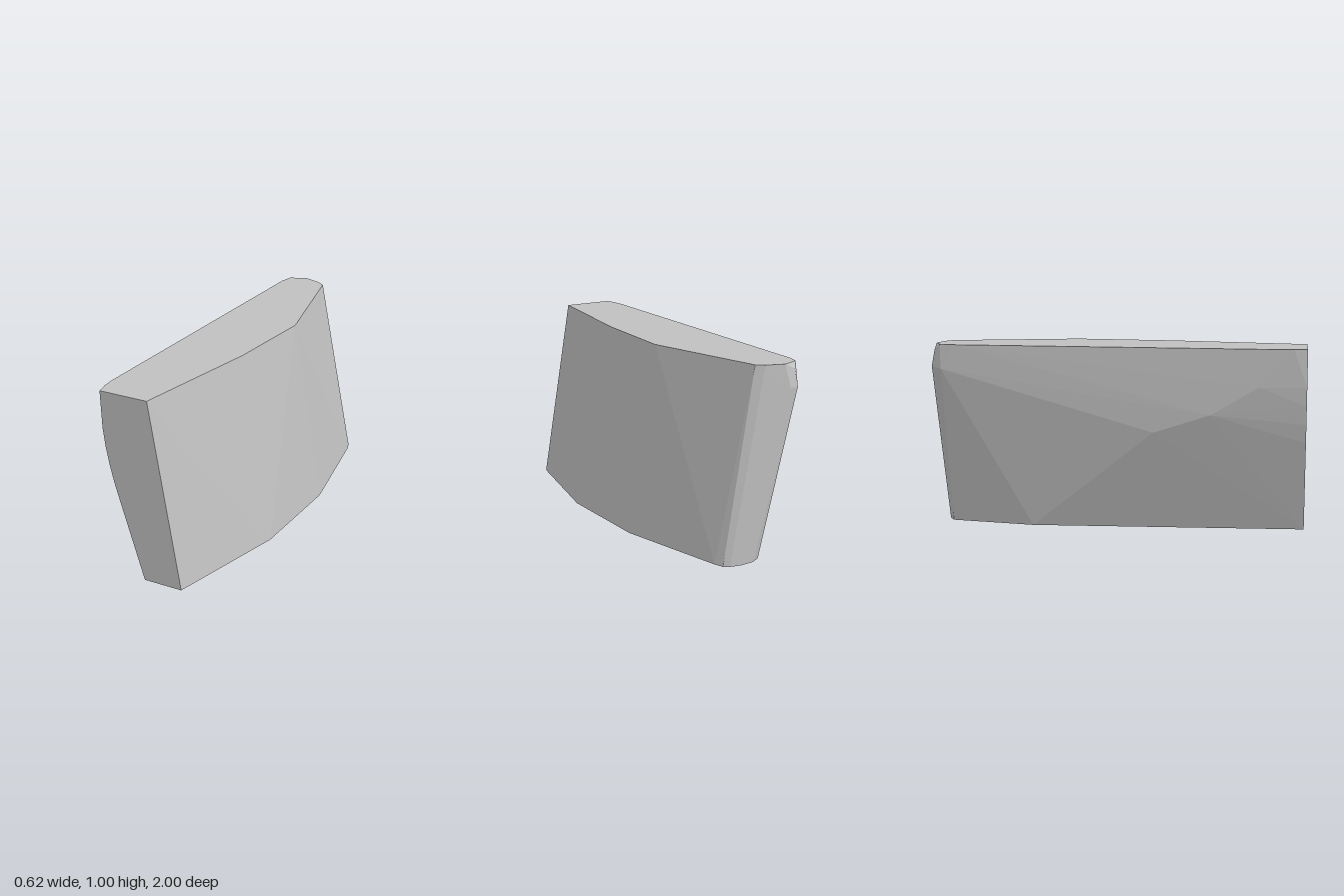
import * as THREE from 'three';
import { ConvexGeometry } from 'three/addons/geometries/ConvexGeometry.js';

// Leaning convex block: flat top and bottom outlines joined by straight facets.
export function createModel() {
  const group = new THREE.Group();
  group.name = 'leaningBlock';
  const grey = new THREE.MeshStandardMaterial({ color: 0xc0c0c0 });
  grey.name = 'grey';

  // outlines as [x, z]
  const top = [
    [-0.29, 1], [-0.02, 1], [0.1, 0.27], [0.14, -0.25], [-0.02, -0.92],
    [-0.06, -0.95], [-0.155, -0.982], [-0.245, -0.945], [-0.262, -0.87],
    [-0.309, 0.86], [-0.305, 0.93],
  ];
  const bottom = [
    [-0.065, 1], [0.15, 1], [0.3, 0.33], [0.306, -0.26], [0.185, -0.89],
    [0.168, -0.94], [0.14, -0.96], [0.07, -0.97], [0, -0.96], [-0.05, -0.93],
    [-0.125, -0.47],
  ];
  // curved front edge, bulge of the right side, rounded rear corner: [x, y, z]
  const between = [
    [-0.282, 0.8, 1], [-0.268, 0.7, 1], [-0.248, 0.6, 1], [-0.222, 0.5, 1],
    [-0.306, 0.8, 0.75], [-0.298, 0.65, 0.5], [-0.28, 0.55, 0.2],
    [-0.215, 0.97, -0.98], [-0.225, 0.88, -0.995], [-0.18, 0.88, -1], [-0.255, 0.87, -0.94],
  ];
  const points = [
    ...top.map(([x, z]) => new THREE.Vector3(x, 1, z)),
    ...bottom.map(([x, z]) => new THREE.Vector3(x, 0, z)),
    ...between.map((p) => new THREE.Vector3(...p)),
  ];
  const body = new THREE.Mesh(new ConvexGeometry(points), grey);
  body.name = 'body';
  group.add(body);
  return group;
}
